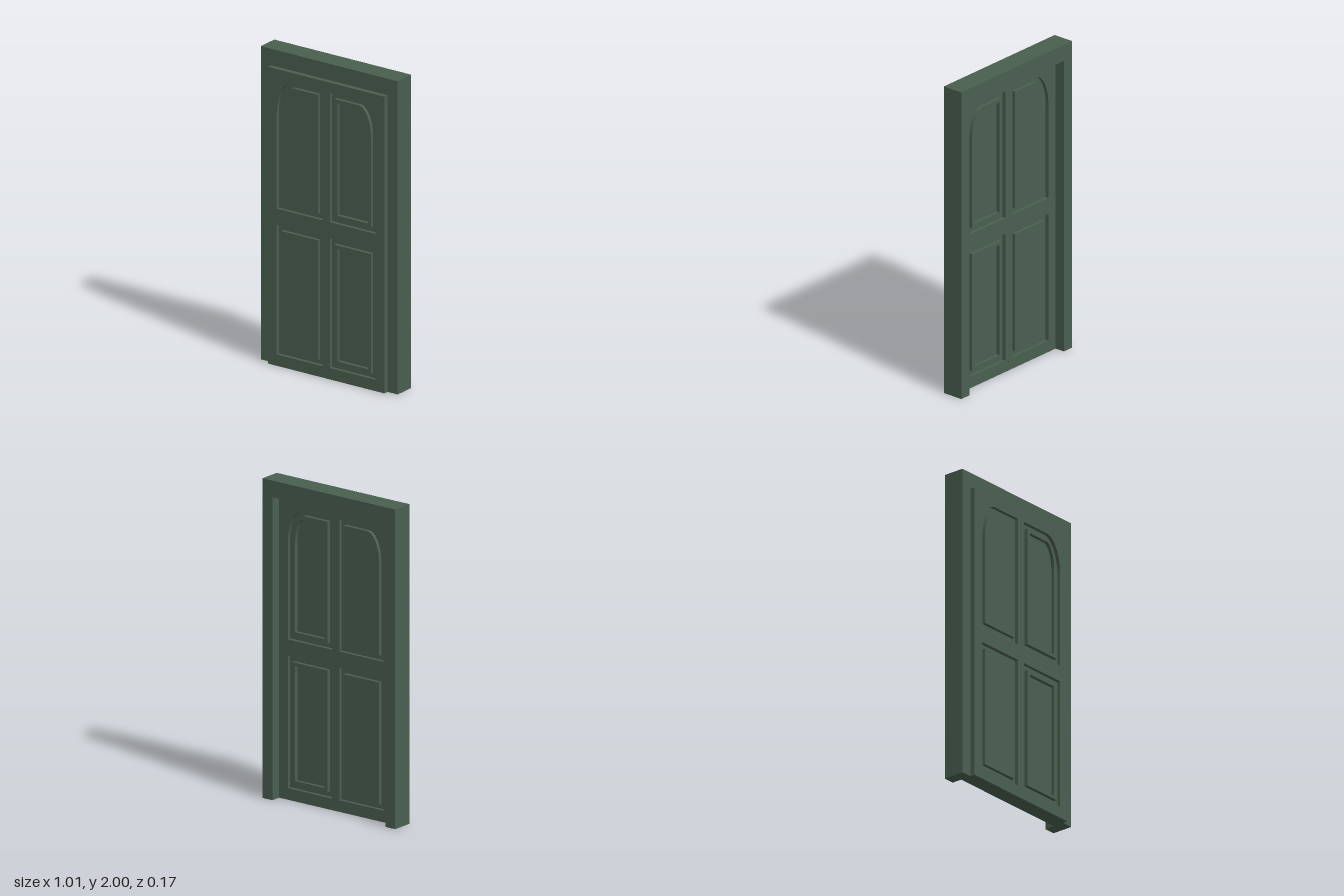
import * as THREE from 'three';

const FRONT = 0.085, LEAF_BACK = -0.02, STEP = 0.022;

// Extrude a flat shape between two depths
function slab(name, shape, z0, z1, material) {
  const geo = new THREE.ExtrudeGeometry(shape, { depth: z1 - z0, bevelEnabled: false, curveSegments: 12 });
  geo.translate(0, 0, z0);
  const mesh = new THREE.Mesh(geo, material);
  mesh.name = name;
  return mesh;
}

// Panel outline, shrunk by an inset; the outer top corner may be arched
function outline(side, { y0, y1, arched }, inset) {
  const a = 0.028 + inset, b = 0.364 - inset, lo = y0 + inset, hi = y1 - inset;
  const pts = [[a, lo], [b, lo]];
  if (arched) {
    const cx = 0.238, cy = 1.61, n = 12;
    for (let i = 0; i <= n; i++) {
      const t = (i / n) * Math.PI / 2;
      pts.push([cx + (b - cx) * Math.cos(t), cy + (hi - cy) * Math.sin(t)]);
    }
  } else pts.push([b, hi]);
  pts.push([a, hi]);
  return pts.map(([x, y]) => new THREE.Vector2(side * x, y));
}

export function createModel() {
  const group = new THREE.Group();
  group.name = 'door';
  const paint = new THREE.MeshStandardMaterial({ color: 0x4a5f50 });
  paint.name = 'dark green paint';

  // Frame: two jambs and a head, open at the bottom
  const w = 0.505, o = 0.43, h = 1.895;
  const frame = new THREE.Shape([[-w, 0], [-o, 0], [-o, h], [o, h], [o, 0], [w, 0], [w, 2], [-w, 2]]
    .map(([x, y]) => new THREE.Vector2(x, y)));
  group.add(slab('frame', frame, -0.085, 0.053, paint));

  // Leaf with four panel openings
  const leaf = new THREE.Shape([[-o, 0], [o, 0], [o, h], [-o, h]].map(([x, y]) => new THREE.Vector2(x, y)));
  const rows = [
    { name: 'lower', y0: 0.073, y1: 0.9, arched: false },
    { name: 'upper', y0: 1.004, y1: 1.83, arched: true },
  ];
  for (const row of rows) for (const side of [-1, 1]) {
    const label = row.name + (side > 0 ? 'Left' : 'Right');
    leaf.holes.push(new THREE.Path(outline(side, row, 0)));

    // Sunken panel, the same on both faces
    group.add(slab(label + 'Panel', new THREE.Shape(outline(side, row, 0)), LEAF_BACK + STEP, FRONT - STEP, paint));

    // Raised moulding ring around the panel field
    const ring = new THREE.Shape(outline(side, row, 0.032));
    ring.holes.push(new THREE.Path(outline(side, row, 0.055)));
    group.add(slab(label + 'Moulding', ring, LEAF_BACK, FRONT, paint));
  }
  group.add(slab('leaf', leaf, LEAF_BACK, FRONT, paint));
  return group;
}
